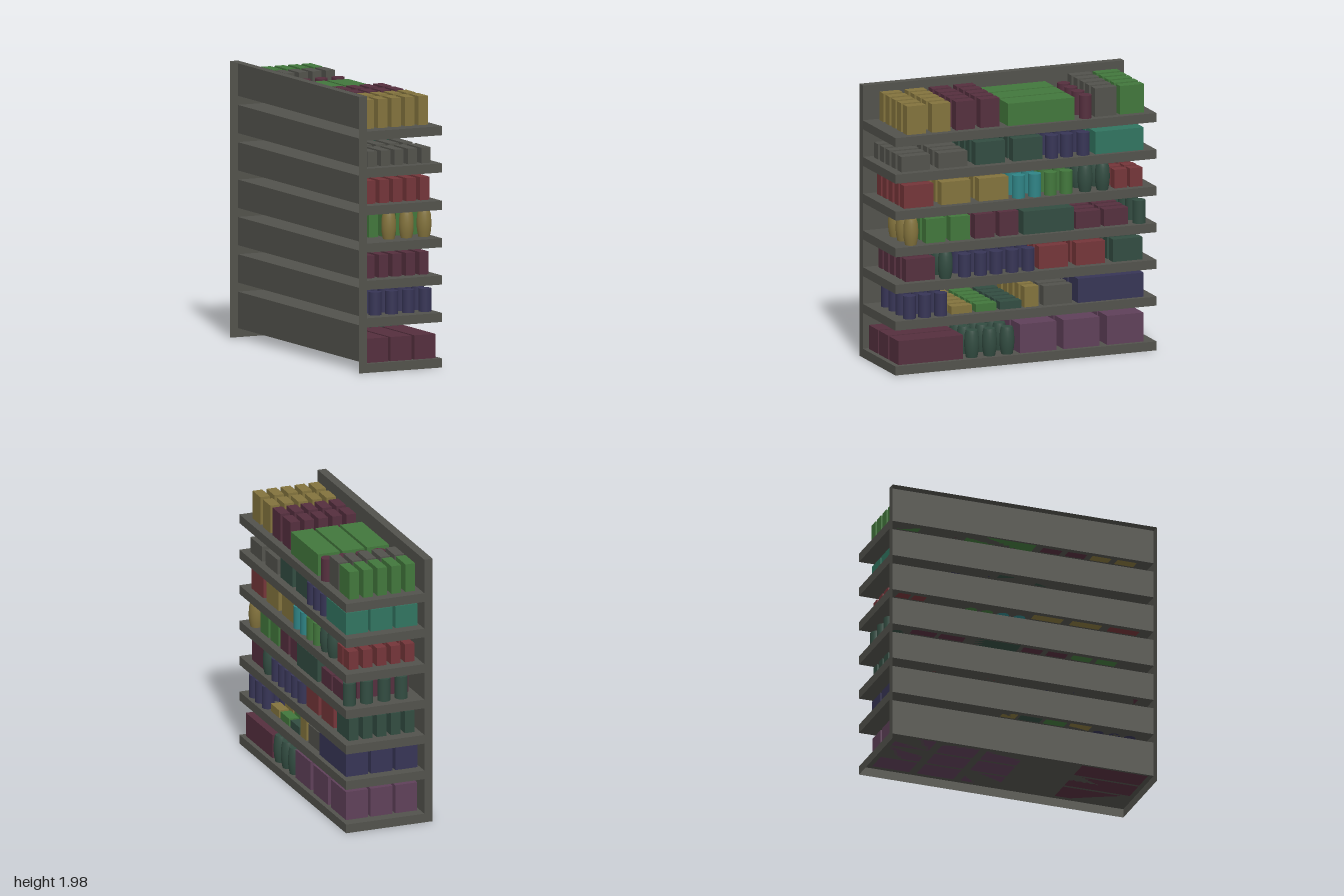
import * as THREE from 'three';

const mat = (name, color, side = THREE.FrontSide) => {
  const m = new THREE.MeshStandardMaterial({ color, side });
  m.name = name;
  return m;
};

export function createModel() {
  const root = new THREE.Group();
  root.name = 'stockedShelf';
  const C = {
    grey: mat('grey', 0x52524c, THREE.DoubleSide),
    green: mat('green', 0x42773c),
    yellow: mat('yellow', 0x83733d),
    maroon: mat('maroon', 0x552f3e),
    red: mat('red', 0x743539),
    teal: mat('teal', 0x317460),
    dark: mat('darkGreen', 0x324c41),
    navy: mat('navy', 0x373556),
    purple: mat('purple', 0x5f4059),
    cyan: mat('cyan', 0x2f8486),
  };
  const X0 = -0.33, X1 = -0.267, X2 = 0.33, TOP = 1.975, THICK = 0.065;
  const levels = [0.065, 0.39, 0.657, 0.923, 1.19, 1.457, 1.723];

  // Side outline of the rack: wall with shelves, from the wall top to the floor
  const outline = [[X0, TOP], [X1, TOP]];
  for (const y of [...levels].reverse()) {
    outline.push([X1, y], [X2, y], [X2, y - THICK]);
    if (y > 0.1) outline.push([X1, y - THICK]);
  }

  // Hollow shell along z, open at the rear and underneath
  const pos = [];
  for (let i = 0; i < outline.length - 1; i++) {
    const [ax, ay] = outline[i], [bx, by] = outline[i + 1];
    pos.push(ax, ay, 1, bx, by, 1, bx, by, -1, ax, ay, 1, bx, by, -1, ax, ay, -1);
  }
  const shellGeo = new THREE.BufferGeometry();
  shellGeo.setAttribute('position', new THREE.Float32BufferAttribute(pos, 3));
  shellGeo.computeVertexNormals();
  const shell = new THREE.Mesh(shellGeo, C.grey);
  shell.name = 'wallAndShelves';
  root.add(shell);

  // End panels
  const endShape = new THREE.Shape([...outline, [X0, 0]].map(([x, y]) => new THREE.Vector2(x, y)));
  for (const z of [1, -1]) {
    const end = new THREE.Mesh(new THREE.ShapeGeometry(endShape), C.grey);
    end.name = z > 0 ? 'frontEndPanel' : 'rearEndPanel';
    end.position.z = z;
    root.add(end);
  }

  // Repeats one item in rows across the shelf depth
  const addRow = (name, geo, color, xs, y, z) => {
    const row = new THREE.Group();
    row.name = name;
    for (const x of xs) {
      const m = new THREE.Mesh(geo, C[color]);
      m.name = name + 'Item';
      m.position.set(x, y, z);
      row.add(m);
    }
    root.add(row);
  };
  const rows = (n, mid, step) => Array.from({ length: n }, (_, i) => mid + (i - (n - 1) / 2) * step);

  const boxes = (name, n, w, step) => (level, color, top, ...spans) => {
    const base = levels[level], h = top - base;
    for (const [z1, z0] of spans) {
      const geo = new THREE.BoxGeometry(w, h, z1 - z0);
      addRow(name, geo, color, rows(n, 0.024, step), base + h / 2, (z0 + z1) / 2);
    }
  };
  const slim = boxes('slimBoxes', 5, 0.073, 0.107);
  const wide = boxes('wideBoxes', 3, 0.167, 0.188);

  const cans = (level, color, top, ...zs) => {
    const h = top - levels[level];
    const geo = new THREE.CylinderGeometry(0.046, 0.046, h, 20);
    for (const z of zs) addRow('cans', geo, color, rows(4, 0.064, 0.132), levels[level] + h / 2, z);
  };

  const jars = (level, color, top, ...zs) => {
    const h = top - levels[level];
    const profile = [[0, 0], [0.041, 0], [0.041, 0], [0.049, 0.2], [0.053, 0.4], [0.053, 0.6],
      [0.049, 0.85], [0.041, 1], [0.041, 1], [0, 1]].map(([r, t]) => new THREE.Vector2(r, t * h));
    const body = new THREE.LatheGeometry(profile.slice(2, 8), 20);
    const lid = new THREE.CircleGeometry(0.041, 20).rotateX(-Math.PI / 2).translate(0, h, 0);
    for (const z of zs) {
      addRow('jars', body, color, rows(3, 0.121, 0.14), levels[level], z);
      addRow('jarLids', lid, color, rows(3, 0.121, 0.14), levels[level], z);
    }
  };

  // Bottom shelf
  wide(0, 'maroon', 0.238, [0.963, 0.467]);
  jars(0, 'dark', 0.262, 0.388, 0.252, 0.118);
  wide(0, 'purple', 0.275, [0.032, -0.246], [-0.302, -0.578], [-0.636, -0.914]);

  // Second shelf
  cans(1, 'navy', 0.555, 0.866, 0.749, 0.626);
  slim(1, 'yellow', 0.446, [0.548, 0.39]);
  slim(1, 'green', 0.446, [0.362, 0.203]);
  slim(1, 'dark', 0.446, [0.176, 0.012]);
  slim(1, 'yellow', 0.538, [-0.01, -0.12]);
  slim(1, 'grey', 0.53, [-0.156, -0.374]);
  wide(1, 'navy', 0.565, [-0.412, -0.916]);

  // Third shelf
  slim(2, 'maroon', 0.82, [0.898, 0.676]);
  jars(2, 'dark', 0.85, 0.59);
  cans(2, 'navy', 0.82, 0.444, 0.322, 0.202, 0.08, -0.043);
  slim(2, 'red', 0.82, [-0.123, -0.346], [-0.406, -0.63]);
  slim(2, 'dark', 0.82, [-0.69, -0.914]);

  // Fourth shelf
  jars(3, 'yellow', 1.11, 0.854);
  slim(3, 'green', 1.097, [0.743, 0.594], [0.556, 0.406]);
  slim(3, 'maroon', 1.097, [0.369, 0.22], [0.182, 0.034]);
  wide(3, 'dark', 1.09, [0.005, -0.38]);
  slim(3, 'maroon', 1.045, [-0.406, -0.592], [-0.62, -0.806]);
  cans(3, 'dark', 1.09, -0.893);

  // Fifth shelf
  slim(4, 'red', 1.355, [0.91, 0.686]);
  slim(4, 'yellow', 1.355, [0.626, 0.402], [0.337, 0.113]);
  cans(4, 'cyan', 1.355, 0.03, -0.094);
  cans(4, 'green', 1.355, -0.214, -0.334);
  jars(4, 'dark', 1.382, -0.48, -0.613);
  slim(4, 'red', 1.325, [-0.7, -0.797], [-0.818, -0.914]);

  // Sixth shelf
  slim(5, 'grey', 1.568, [0.932, 0.711], [0.647, 0.426]);
  slim(5, 'dark', 1.62, [0.364, 0.138], [0.075, -0.15]);
  cans(5, 'navy', 1.622, -0.225, -0.338, -0.465);
  wide(5, 'teal', 1.62, [-0.545, -0.915]);

  // Top shelf
  slim(6, 'yellow', 1.93, [0.888, 0.743], [0.697, 0.555]);
  slim(6, 'maroon', 1.93, [0.513, 0.369], [0.326, 0.18]);
  wide(6, 'green', 1.885, [0.122, -0.387]);
  cans(6, 'maroon', 1.89, -0.482);
  slim(6, 'grey', 1.93, [-0.552, -0.717]);
  slim(6, 'green', 1.93, [-0.743, -0.926]);

  return root;
}
